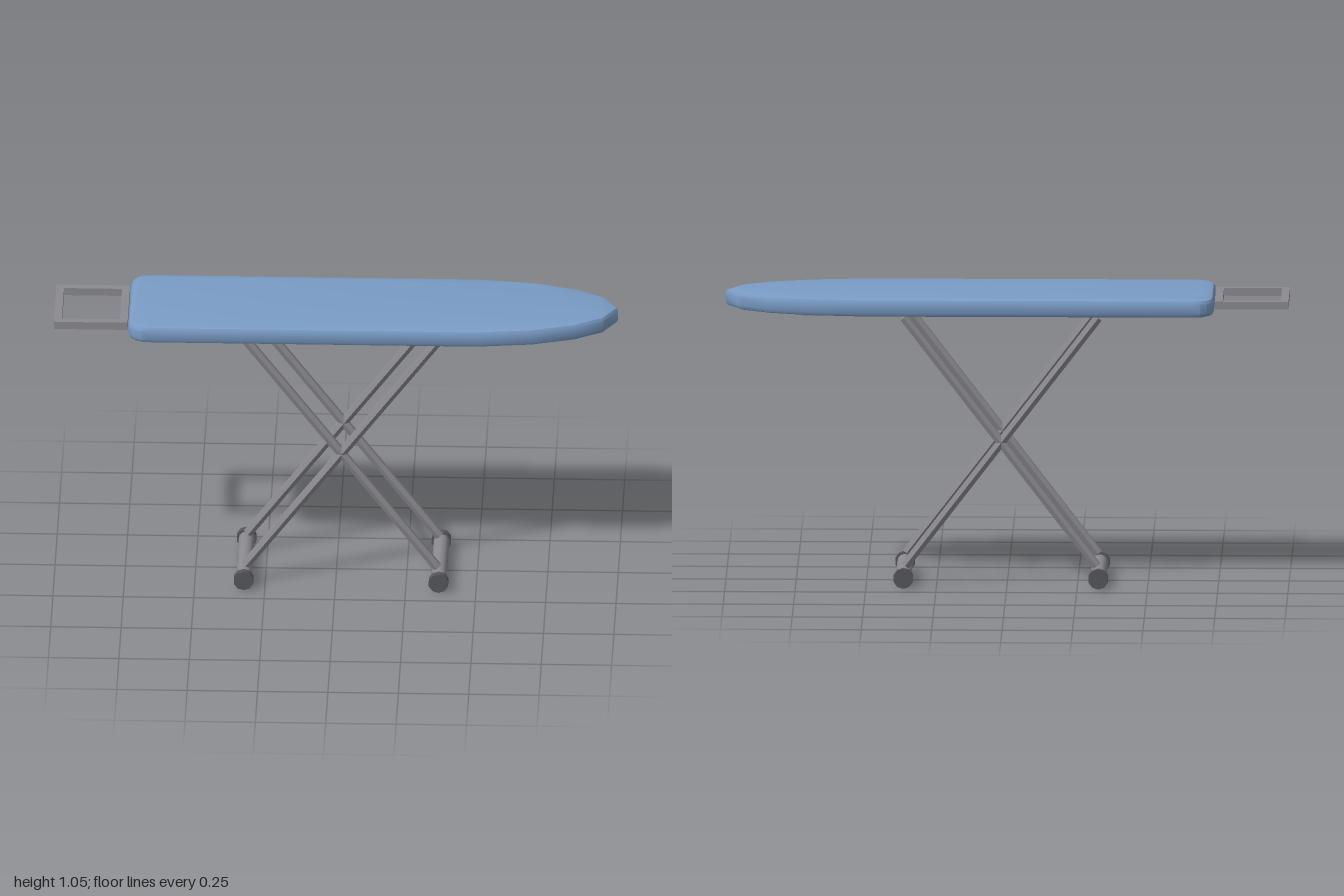
import * as THREE from 'three';
import { toCreasedNormals } from 'three/addons/utils/BufferGeometryUtils.js';

const material = (name, color, flatShading = false) => {
  const m = new THREE.MeshStandardMaterial({ color, flatShading });
  m.name = name;
  return m;
};

export function createModel() {
  const model = new THREE.Group();
  model.name = 'ironingBoard';
  const blue = material('blueFabric', 0x7a9cc6);
  const metal = material('greyMetal', 0x8a8a90);
  const under = material('undersidePanel', 0x878486);
  const rubber = material('darkRubber', 0x55575b);

  const add = (parent, name, geometry, mat, x = 0, y = 0, z = 0) => {
    const mesh = new THREE.Mesh(geometry, mat);
    mesh.name = name;
    mesh.position.set(x, y, z);
    parent.add(mesh);
    return mesh;
  };

  // Padded board: rounded tail, tapered nose, softly bevelled rim
  const half = [
    [-0.735, 0.15], [-0.729, 0.182], [-0.712, 0.205], [-0.688, 0.217], [-0.65, 0.22],
    [0.5, 0.22], [0.7, 0.196], [0.85, 0.15], [0.95, 0.088],
  ];
  const outline = [
    ...half.map(([x, z]) => new THREE.Vector2(x, -z)),
    new THREE.Vector2(1, 0),
    ...half.slice().reverse().map(([x, z]) => new THREE.Vector2(x, z)),
  ];
  const bevel = 0.015;
  const board = new THREE.ExtrudeGeometry(new THREE.Shape(outline), {
    depth: 0.065 - 2 * bevel, bevelThickness: bevel, bevelSize: 0.02,
    bevelOffset: -0.02, bevelSegments: 2, curveSegments: 1,
  });
  board.rotateX(-Math.PI / 2);
  add(model, 'boardPad', toCreasedNormals(board, 0.6), blue, 0, 0.985 + bevel, 0);

  // Panel under the board
  add(model, 'undersidePanel', new THREE.BoxGeometry(1.38, 0.01, 0.31), under, 0.04, 0.985, 0);

  // Rectangular iron rest at the tail
  const rest = new THREE.Group();
  rest.name = 'ironRest';
  model.add(rest);
  for (const x of [-0.986, -0.752]) {
    add(rest, 'restCrossBar', new THREE.BoxGeometry(0.028, 0.028, 0.3), metal, x, 1.02, 0);
  }
  for (const z of [-0.137, 0.137]) {
    add(rest, 'restSideBar', new THREE.BoxGeometry(0.22, 0.028, 0.028), metal, -0.869, 1.02, z);
  }

  // Crossed hexagonal legs, each pair standing on a foot bar with end caps
  const centre = 0.021;
  const legMetal = material('greyLegMetal', 0x8a8a90, true);
  for (const side of [-1, 1]) {
    const pair = new THREE.Group();
    pair.name = side < 0 ? 'rightLegPair' : 'leftLegPair';
    model.add(pair);

    const bottom = new THREE.Vector2(centre + side * 0.34, 0.075);
    const top = new THREE.Vector2(centre - side * 0.345, 0.97);
    const span = top.clone().sub(bottom);
    for (const z of [-0.127, 0.127]) {
      const leg = add(pair, 'leg', new THREE.CylinderGeometry(0.0175, 0.0175, span.length(), 6),
        legMetal, (top.x + bottom.x) / 2, (top.y + bottom.y) / 2, z);
      leg.rotation.z = Math.atan2(-span.x, span.y);
    }

    const footX = centre + side * 0.346;
    const bar = new THREE.CylinderGeometry(0.028, 0.028, 0.33, 12).rotateX(Math.PI / 2);
    add(pair, 'footBar', bar, metal, footX, 0.037, 0);
    for (const z of [-0.171, 0.171]) {
      const cap = new THREE.CylinderGeometry(0.036, 0.036, 0.026, 10).rotateX(Math.PI / 2);
      add(pair, 'footCap', cap, rubber, footX, 0.036, z);
    }
  }
  return model;
}
